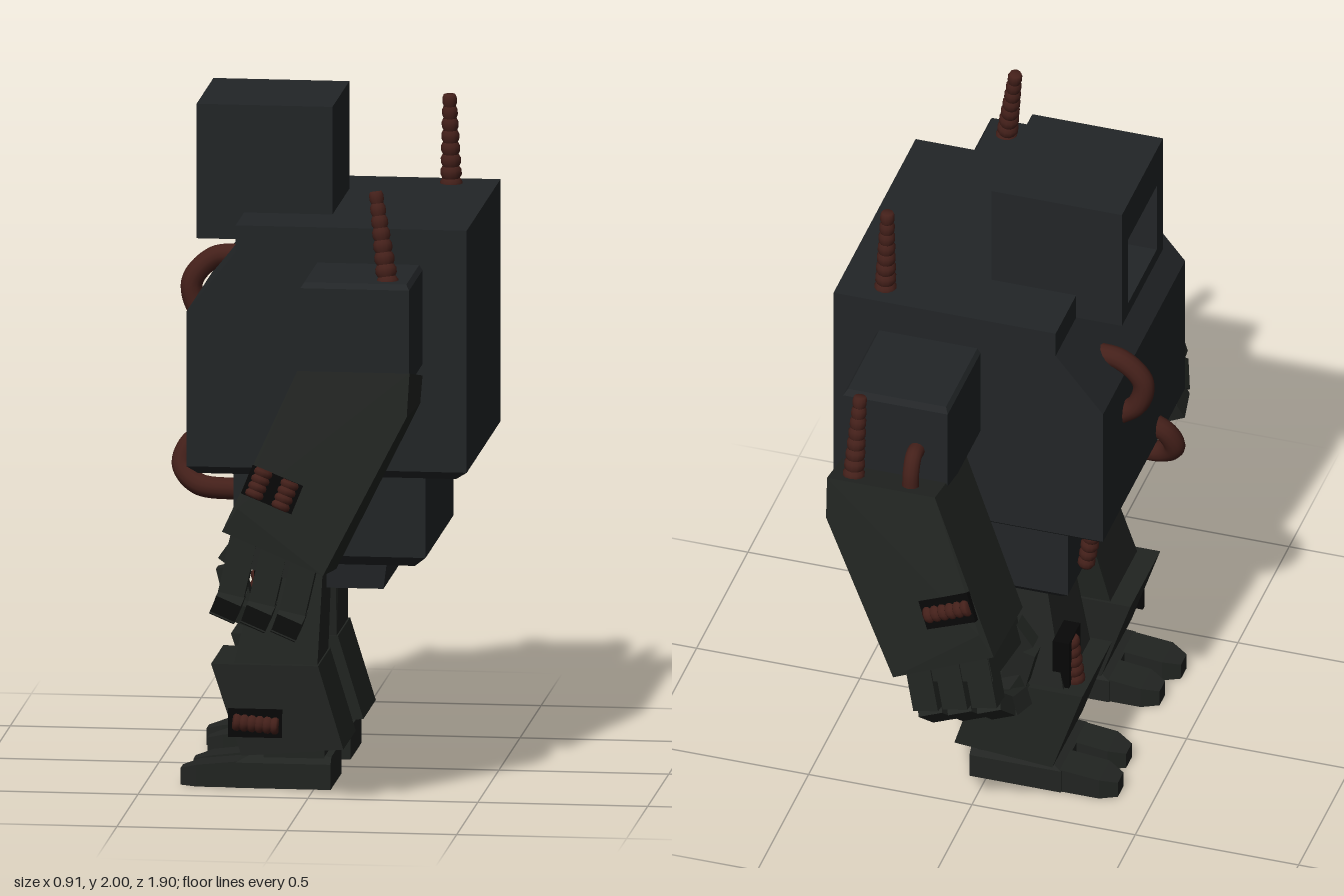
import * as THREE from 'three';
import { ConvexGeometry } from 'three/addons/geometries/ConvexGeometry.js';

const V = (x, y, z) => new THREE.Vector3(x, y, z);
const mat = (color, flatShading = true) => new THREE.MeshStandardMaterial({ color, flatShading });
const armour = mat(0x222527);
const limb = mat(0x212421);
const dark = mat(0x070707);
const rust = mat(0x44201a, false);

export function createModel() {
  const root = new THREE.Group();

  const add = (parent, name, geometry, material) => {
    const m = new THREE.Mesh(geometry, material);
    m.name = name;
    parent.add(m);
    return m;
  };
  const part = (name) => {
    const g = new THREE.Group();
    g.name = name;
    root.add(g);
    return g;
  };
  const box = (p, name, x0, x1, y0, y1, z0, z1, m) =>
    add(p, name, new THREE.BoxGeometry(x1 - x0, y1 - y0, Math.abs(z1 - z0)), m)
      .position.set((x0 + x1) / 2, (y0 + y1) / 2, (z0 + z1) / 2);
  // Four corners of a level rectangle
  const sec = (y, x0, x1, z0, z1) => [V(x0, y, z0), V(x1, y, z0), V(x1, y, z1), V(x0, y, z1)];
  const hull = (p, name, m, ...secs) => add(p, name, new ConvexGeometry(secs.flat()), m);
  // Bar from a to b, with its width running along the direction u
  const beam = (p, name, a, b, u, w, d, m) => {
    const y = b.clone().sub(a);
    const len = y.length();
    y.normalize();
    const z = u.clone().cross(y).normalize();
    const x = y.clone().cross(z);
    const mesh = add(p, name, new THREE.BoxGeometry(w, len, d), m);
    mesh.quaternion.setFromRotationMatrix(new THREE.Matrix4().makeBasis(x, y, z));
    mesh.position.copy(a).add(b).multiplyScalar(0.5);
  };
  // Ribbed cable stub; taper is the radius ratio at the tip
  const ribbed = (p, name, a, b, r, taper, rings = 7) => {
    const d = b.clone().sub(a);
    const len = d.length();
    const pts = [new THREE.Vector2(0, 0)];
    for (let i = 0; i < rings; i++) {
      const k = r * (1 + (taper - 1) * i / rings);
      for (const [t, f] of [[0, 0.82], [0.3, 1], [0.7, 1], [1, 0.8]])
        pts.push(new THREE.Vector2(k * f, len * (i + t) / rings));
    }
    pts.push(new THREE.Vector2(0, len));
    const m = add(p, name, new THREE.LatheGeometry(pts, 12), rust);
    m.position.copy(a);
    m.quaternion.setFromUnitVectors(V(0, 1, 0), d.normalize());
  };
  const hose = (name, r, ...pts) =>
    add(root, name, new THREE.TubeGeometry(new THREE.CatmullRomCurve3(pts), 32, r, 12), rust);

  // Head: solid rear block and a front frame around the face recess
  const head = part('head');
  box(head, 'skull', -0.245, 0.035, 1.6, 2, -0.2, 0.2, armour);
  const face = new THREE.Shape([[-0.2, 0], [0.2, 0], [0.2, 0.4], [-0.2, 0.4]].map((q) => new THREE.Vector2(...q)));
  face.holes.push(new THREE.Path([[-0.14, 0.04], [-0.14, 0.27], [0.14, 0.27], [0.14, 0.04]].map((q) => new THREE.Vector2(...q))));
  const frame = add(head, 'faceFrame', new THREE.ExtrudeGeometry(face, { depth: 0.12, bevelEnabled: false }), armour);
  frame.rotation.y = Math.PI / 2;
  frame.position.set(-0.365, 1.6, 0);
  box(head, 'faceRecess', -0.26, -0.24, 1.63, 1.88, -0.15, 0.15, dark);

  // Torso, abdomen and pelvis
  const body = part('body');
  box(body, 'shoulderBlock', -0.225, 0.455, 1.6, 1.68, -0.4, 0.4, armour);
  hull(body, 'chest', armour,
    sec(1.6, -0.225, 0.455, -0.4, 0.4), sec(1.42, -0.37, 0.455, -0.4, 0.4),
    sec(0.96, -0.37, 0.455, -0.4, 0.4), sec(0.935, -0.34, 0.42, -0.37, 0.37));
  hull(body, 'abdomen', armour,
    sec(0.95, -0.24, 0.325, -0.33, 0.33), sec(0.69, -0.24, 0.325, -0.33, 0.33),
    sec(0.66, -0.21, 0.29, -0.3, 0.3));
  hull(body, 'pelvis', armour, sec(0.68, -0.19, 0.2, -0.21, 0.21), sec(0.57, -0.18, 0.185, -0.2, 0.2));

  for (const s of [1, -1]) {
    const side = s > 0 ? 'Front' : 'Rear';

    // Leg: thigh, shin, foot with two toes
    const leg = part('leg' + side);
    hull(leg, 'thigh', limb,
      sec(0.66, -0.17, 0.02, s * 0.09, s * 0.3), sec(0.57, -0.19, 0.01, s * 0.08, s * 0.315),
      sec(0.35, -0.24, 0.01, s * 0.1, s * 0.365));
    hull(leg, 'shin', limb,
      sec(0.37, -0.3, 0.015, s * 0.09, s * 0.38),
      [V(0.09, 0.125, s * 0.09), V(0.09, 0.125, s * 0.385), V(-0.21, 0.1, s * 0.09), V(-0.21, 0.1, s * 0.385)]);
    box(leg, 'ankle', -0.15, 0.03, 0.07, 0.13, s * 0.12, s * 0.35, limb);
    hull(leg, 'foot', limb,
      sec(0, -0.23, 0.05, s * 0.105, s * 0.365), sec(0.075, -0.23, 0.05, s * 0.105, s * 0.365),
      sec(0.095, -0.19, 0.05, s * 0.125, s * 0.345));
    for (const [z0, z1, tip] of [[0.255, 0.36, -0.395], [0.11, 0.215, -0.375]])
      hull(leg, 'toe', limb,
        sec(0, -0.2, -0.2, s * z0, s * z1), sec(0.08, -0.2, -0.2, s * z0, s * z1),
        sec(0, tip + 0.05, tip + 0.05, s * z0, s * z1), sec(0.065, tip + 0.05, tip + 0.05, s * z0, s * z1),
        sec(0, tip, tip, s * (z0 + 0.025), s * (z1 - 0.025)),
        sec(0.05, tip, tip, s * (z0 + 0.025), s * (z1 - 0.025)));

    // Arm: shoulder, bent forearm
    const arm = part('arm' + side);
    hull(arm, 'shoulder', armour,
      sec(1.575, 0.015, 0.315, s * 0.38, s * 0.705), sec(1.56, 0.005, 0.325, s * 0.38, s * 0.72),
      sec(1.28, 0.005, 0.325, s * 0.38, s * 0.72));
    hull(arm, 'forearm', limb,
      [V(0.01, 1.335, s * 0.83), V(0.34, 1.335, s * 0.83), V(0.34, 1.27, s * 0.52), V(0.01, 1.27, s * 0.52)],
      [V(0.335, 1.21, s * 0.855), V(0.335, 1.19, s * 0.535)],
      [V(-0.155, 0.94, s * 0.925), V(-0.2, 0.87, s * 0.925), V(0.1, 0.75, s * 0.95)],
      [V(-0.19, 0.83, s * 0.61), V(0.1, 0.71, s * 0.63), V(0.06, 0.7, s * 0.66)]);

    // Cable slot on the outside of the forearm
    const u = V(0.92, -0.39, 0);
    const v = V(-0.35, -0.88, s * 0.2).normalize();
    const c = V(-0.055, 0.995, s * 0.906);
    const at = (i, j) => c.clone().addScaledVector(u, i).addScaledVector(v, j);
    beam(arm, 'armSlot', at(0, -0.045), at(0, 0.045), u, 0.16, 0.02, dark);
    if (s > 0) for (const i of [-0.042, 0.042]) ribbed(arm, 'slotCable', at(i, -0.045), at(i, 0.045), 0.03, 1, 4);
    else ribbed(arm, 'slotCable', at(-0.075, 0), at(0.075, 0), 0.028, 1, 6);

    // Hand: palm, three curled fingers and an opposing thumb
    const hand = part('hand' + side);
    beam(hand, 'palm', V(-0.06, 0.82, s * 0.78), V(-0.08, 0.735, s * 0.79), u, 0.25, 0.25, limb);
    [0, 1, 2].forEach((i) => {
      const x = 0.04 - i * 0.09;
      const y = i * 0.025;
      const p = [V(x, 0.79 + y, s * 0.875), V(x - 0.035, 0.63 + y, s * 0.895),
        V(x - 0.06, 0.57 + y, s * 0.83), V(x - 0.075, 0.55 + y, s * 0.735)];
      for (let k = 0; k < 3; k++) beam(hand, 'finger', p[k], p[k + 1], u, 0.078, k ? 0.055 : 0.07, limb);
    });
    const t = [V(-0.16, 0.79, s * 0.65), V(-0.21, 0.72, s * 0.65), V(-0.18, 0.6, s * 0.65), V(-0.165, 0.585, s * 0.73)];
    for (let k = 0; k < 3; k++) beam(hand, 'thumb', t[k], t[k + 1], u, 0.08, 0.055, limb);
  }

  // Shin slot and its cable, and the cable on the opposite thigh
  const cables = part('cables');
  box(cables, 'shinSlot', -0.25, -0.09, 0.155, 0.24, 0.37, 0.386, dark);
  ribbed(cables, 'shinCable', V(-0.235, 0.2, 0.38), V(-0.1, 0.19, 0.38), 0.027, 1, 6);
  box(cables, 'thighSlot', -0.25, -0.2, 0.36, 0.53, -0.35, -0.24, dark);
  ribbed(cables, 'thighCable', V(-0.235, 0.52, -0.3), V(-0.255, 0.36, -0.3), 0.03, 1, 5);

  // Broken cable ends on back, shoulder, arm and belly
  ribbed(cables, 'backCable', V(0.32, 1.66, -0.325), V(0.315, 1.945, -0.32), 0.033, 0.6, 8);
  ribbed(cables, 'shoulderCable', V(0.255, 1.55, 0.645), V(0.212, 1.83, 0.6), 0.033, 0.6, 8);
  ribbed(cables, 'armCable', V(0.275, 1.31, -0.78), V(0.27, 1.575, -0.73), 0.033, 0.6, 8);
  ribbed(cables, 'bellyCable', V(-0.305, 0.97, -0.25), V(-0.27, 0.75, -0.25), 0.03, 0.85, 7);

  // Looping hoses
  hose('armHose', 0.025, V(0.1, 1.3, -0.78), V(0.1, 1.37, -0.775), V(0.1, 1.41, -0.75), V(0.1, 1.41, -0.7));
  hose('chestHose', 0.032, V(-0.27, 1.48, -0.19), V(-0.36, 1.47, -0.19), V(-0.425, 1.4, -0.185),
    V(-0.41, 1.32, -0.185), V(-0.34, 1.26, -0.18));
  hose('bellyHose', 0.032, V(-0.33, 1.02, 0.14), V(-0.39, 0.98, 0.15), V(-0.41, 0.92, 0.17),
    V(-0.36, 0.87, 0.2), V(-0.22, 0.86, 0.22));

  return root;
}
